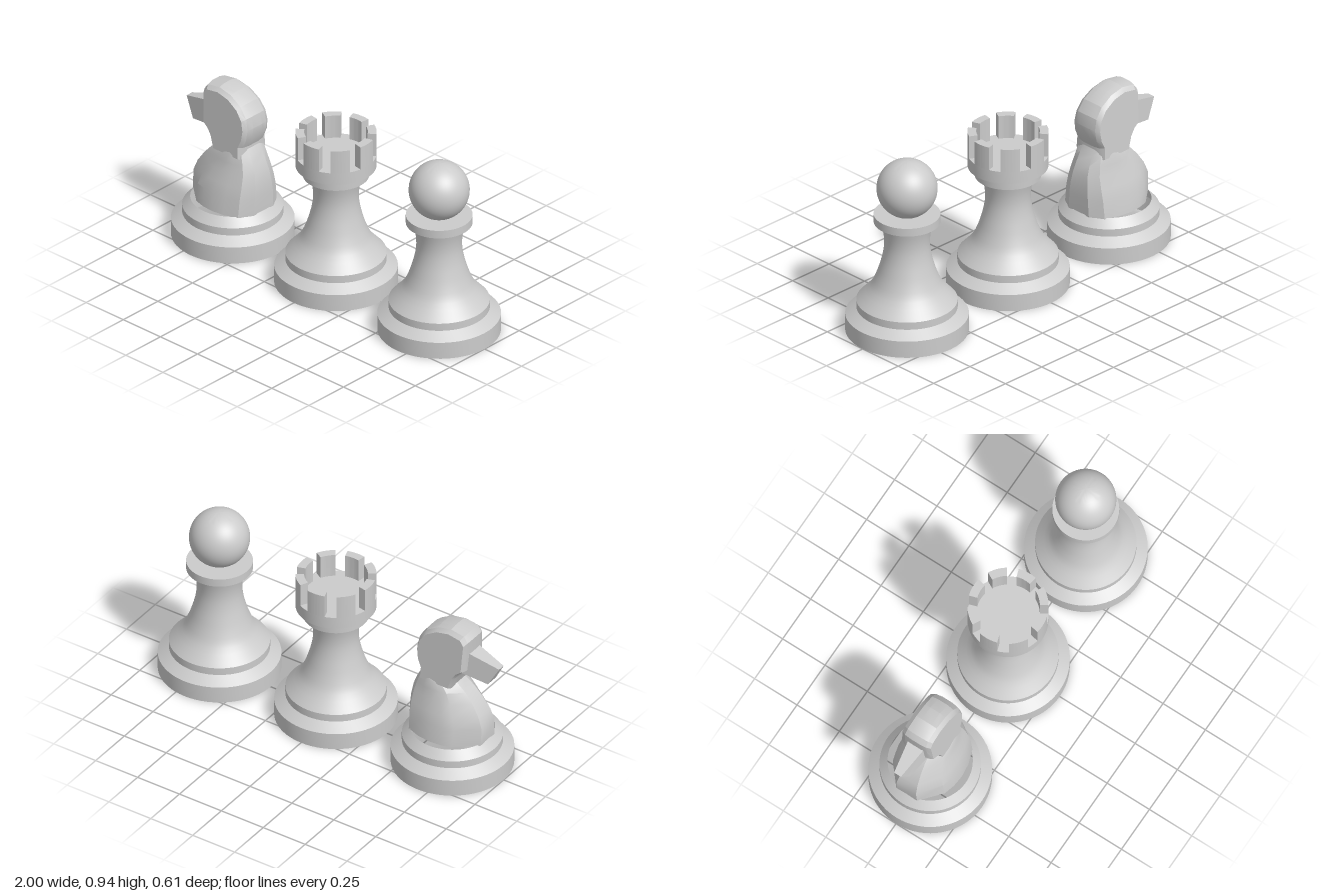
import * as THREE from 'three';
import { toCreasedNormals } from 'three/addons/utils/BufferGeometryUtils.js';

const grey = new THREE.MeshStandardMaterial({ color: 0xcccccc });
const greyOpen = new THREE.MeshStandardMaterial({ color: 0xcccccc, side: THREE.DoubleSide });
const V2 = (x, y) => new THREE.Vector2(x, y);

function part(name, geometry, crease = 0.5, material = grey) {
  const mesh = new THREE.Mesh(toCreasedNormals(geometry, crease), material);
  mesh.name = name;
  return mesh;
}

const turned = (points) => new THREE.LatheGeometry(points.map(([r, y]) => V2(r, y)), 64);

// Skin a list of rings; each cap is flattened to 2D by the project function
function loft(rings, project, capStart) {
  const n = rings[0].length;
  const index = [];
  for (let r = 0; r < rings.length - 1; r++) {
    for (let i = 0; i < n; i++) {
      const a = r * n + i, b = r * n + (i + 1) % n;
      index.push(a, b, b + n, a, b + n, a + n);
    }
  }
  const cap = (r, flip) => {
    for (const [a, b, c] of THREE.ShapeUtils.triangulateShape(rings[r].map(project), [])) {
      const o = r * n;
      index.push(o + a, o + (flip ? c : b), o + (flip ? b : c));
    }
  };
  cap(rings.length - 1, false);
  if (capStart) cap(0, true);
  const geometry = new THREE.BufferGeometry().setFromPoints(rings.flat());
  geometry.setIndex(index);
  return geometry;
}

// Stepped foot shared by all pieces
const foot = [[0.305, 0], [0.305, 0.09], [0.25, 0.127], [0.25, 0.167]];

// Waisted stem with collar, shared by pawn and rook
function stem(name) {
  const waist = new THREE.SplineCurve([
    V2(0.25, 0.167), V2(0.185, 0.24), V2(0.155, 0.3), V2(0.135, 0.36),
    V2(0.12, 0.42), V2(0.113, 0.48), V2(0.117, 0.54), V2(0.13, 0.602),
  ]).getPoints(21).map((p) => [p.x, p.y]);
  return part(name, turned([[0, 0], ...foot, ...waist.slice(1),
    [0.165, 0.602], [0.165, 0.645], [0, 0.645]]));
}

function createPawn() {
  const pawn = new THREE.Group();
  pawn.name = 'pawn';
  const head = part('pawnHead', new THREE.SphereGeometry(0.151, 48, 32));
  head.position.y = 0.785;
  pawn.add(stem('pawnStem'), head);
  return pawn;
}

function createRook() {
  const rook = new THREE.Group();
  rook.name = 'rook';
  rook.add(stem('rookStem'));
  rook.add(part('rookCup', turned([[0.15, 0.64], [0.165, 0.645], [0.2, 0.655], [0.2, 0.72], [0, 0.72]]), 0.2));
  // Eight battlements around the rim
  const half = THREE.MathUtils.degToRad(14);
  const sector = new THREE.Shape();
  sector.absarc(0, 0, 0.2, -half, half, false);
  sector.absarc(0, 0, 0.157, half, -half, true);
  for (let k = 0; k < 8; k++) {
    const geometry = new THREE.ExtrudeGeometry(sector, { depth: 0.125, bevelEnabled: false, curveSegments: 8 });
    geometry.rotateX(-Math.PI / 2);
    const merlon = part('battlement', geometry);
    merlon.position.y = 0.72;
    merlon.rotation.y = THREE.MathUtils.degToRad(4 + 45 * k - 90);
    rook.add(merlon);
  }
  return rook;
}

// The knight looks towards -x; x is measured from the piece's axis
function createKnight() {
  const knight = new THREE.Group();
  knight.name = 'knight';
  knight.add(part('knightFoot', turned([...foot, [0.21, 0.21]]), 0.5, greyOpen));

  // Chest: stations of height, front x, back x and half width
  const stations = [
    [0.205, -0.21, 0.207, 0.175], [0.3, -0.213, 0.209, 0.162], [0.36, -0.19, 0.206, 0.145],
    [0.42, -0.15, 0.196, 0.125], [0.47, -0.105, 0.178, 0.112], [0.515, -0.045, 0.156, 0.104],
    [0.55, 0.02, 0.136, 0.09],
  ];
  const section = [[0, 0.35], [0.26, 0.88], [0.4, 0.97], [0.55, 1], [0.72, 0.95], [0.9, 0.8], [1, 0.4]];
  const chestRings = stations.map(([y, front, back, w]) => {
    const side = section.map(([t, s]) => new THREE.Vector3(front + (back - front) * t, y, s * w));
    const mirrored = side.map((p) => new THREE.Vector3(p.x, p.y, -p.z)).reverse();
    return [...side, ...mirrored];
  });
  knight.add(part('knightChest', loft(chestRings, (p) => V2(p.x, -p.z), false), 0.5, greyOpen));

  // Head: side profile repeated across the width, shrinking outward and flaring at the neck
  const profile = [
    [-0.045, 0.49], [0.14, 0.49], [0.138, 0.56], [0.16, 0.61], [0.168, 0.67], [0.155, 0.73],
    [0.115, 0.785], [0.045, 0.828], [-0.035, 0.845], [-0.115, 0.832], [-0.138, 0.8],
    [-0.133, 0.72], [-0.128, 0.625], [-0.095, 0.6], [-0.068, 0.56],
  ];
  const layers = [[-0.08, 0.88], [-0.06, 0.965], [-0.028, 1], [0.028, 1], [0.06, 0.965], [0.08, 0.88]];
  const headRings = layers.map(([z, s]) => profile.map(([x, y]) => {
    const py = 0.63 + (y - 0.63) * s;
    return new THREE.Vector3(0.01 + (x - 0.01) * s, py, z * (1 + 0.8 * (0.83 - py)));
  }));
  knight.add(part('knightHead', loft(headRings, (p) => V2(p.x, p.y), true), 0.35));

  // Muzzle: a box tapered to a slanted nose
  const muzzle = new THREE.BoxGeometry(1, 1, 1);
  const pos = muzzle.attributes.position;
  for (let i = 0; i < pos.count; i++) {
    const nose = pos.getX(i) < 0, top = pos.getY(i) > 0, side = Math.sign(pos.getZ(i));
    const [x, y, z] = nose
      ? (top ? [-0.292, 0.675, 0.02] : [-0.235, 0.573, 0.036])
      : (top ? [-0.1, 0.73, 0.05] : [-0.07, 0.605, 0.065]);
    pos.setXYZ(i, x, y, z * side);
  }
  knight.add(part('knightMuzzle', muzzle, 0.2));
  return knight;
}

export function createModel() {
  const model = new THREE.Group();
  model.name = 'chessPieces';
  const pieces = [createKnight(), createRook(), createPawn()];
  pieces.forEach((piece, i) => {
    piece.position.x = (i - 1) * 0.695;
    model.add(piece);
  });
  return model;
}
